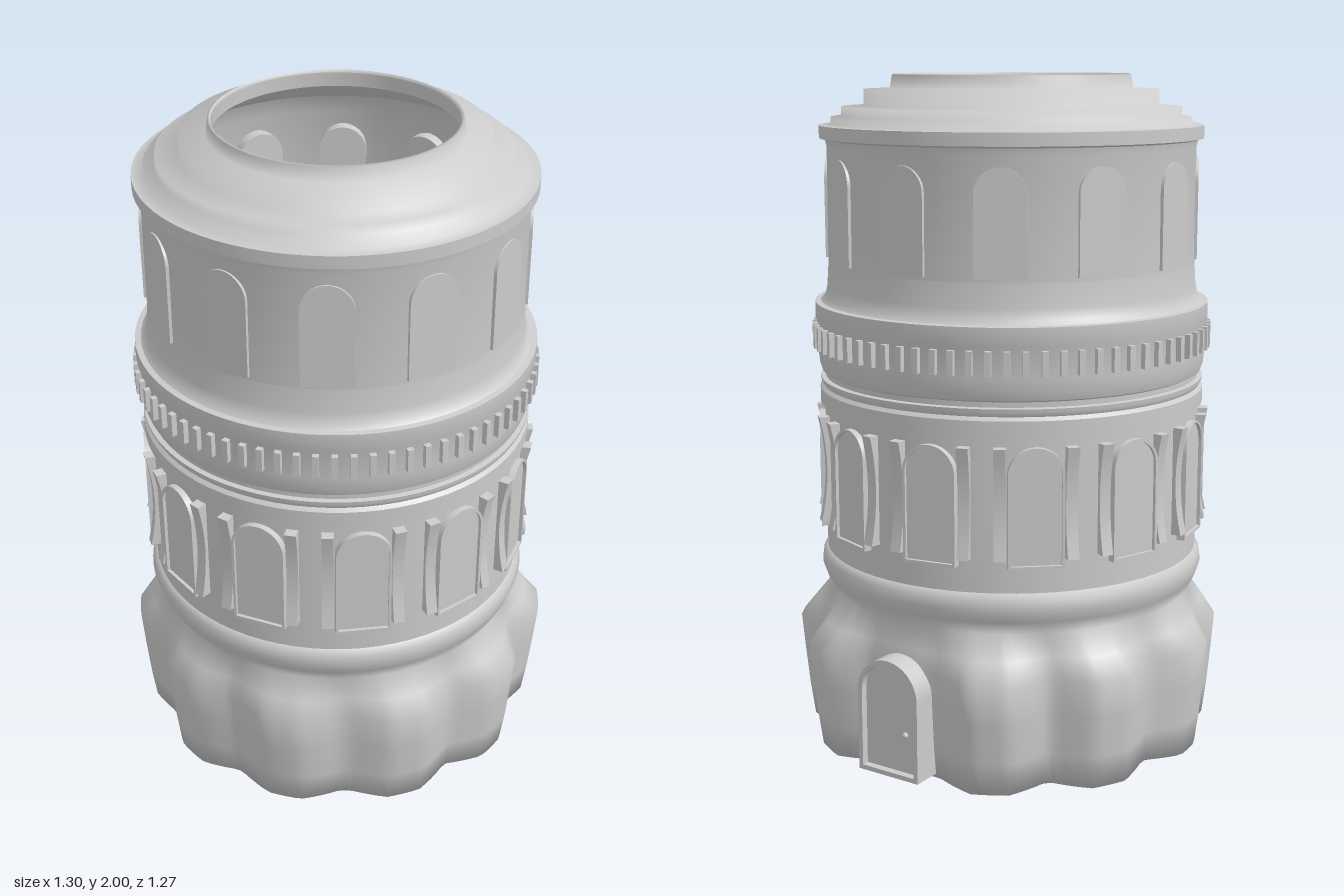
import * as THREE from 'three';
import { mergeVertices, toCreasedNormals } from 'three/addons/utils/BufferGeometryUtils.js';

const CENTRE_Z = 0.015;
const rad = THREE.MathUtils.degToRad;
const mat = new THREE.MeshStandardMaterial({ color: 0xcccccc });
const thinMat = new THREE.MeshStandardMaterial({ color: 0xcccccc, side: THREE.DoubleSide });

function part(name, geometry, material = mat) {
  const mesh = new THREE.Mesh(geometry, material);
  mesh.name = name;
  return mesh;
}

// Round section from [radius, height] pairs
function lathe(pairs, segments = 72) {
  return new THREE.LatheGeometry(pairs.map(([r, y]) => new THREE.Vector2(r, y)), segments);
}

// Round-headed outline standing on y = 0
function archOutline(target, w, h, inset = 0) {
  const r = w / 2 - inset;
  target.moveTo(-r, inset);
  target.lineTo(r, inset);
  target.lineTo(r, h - w / 2);
  target.absarc(0, h - w / 2, r, 0, Math.PI, false);
  target.lineTo(-r, inset);
  return target;
}

function archSlab(w, h, depth, inset = 0) {
  const shape = archOutline(new THREE.Shape(), w, h, inset);
  return new THREE.ExtrudeGeometry(shape, { depth, bevelEnabled: false, curveSegments: 12 });
}

function archFrame(w, h, depth, border) {
  const shape = archOutline(new THREE.Shape(), w, h);
  shape.holes.push(archOutline(new THREE.Path(), w, h, border));
  return new THREE.ExtrudeGeometry(shape, { depth, bevelEnabled: false, curveSegments: 12 });
}

// Turn an object outward at an angle (0 = front) and a distance from the axis
function placeAround(object, degrees, radius, y) {
  const a = rad(degrees);
  object.position.set(Math.sin(a) * radius, y, Math.cos(a) * radius);
  object.rotation.y = a;
  return object;
}

// Lobed rocky foot: a turned profile pushed outward at each lobe
function footGeometry() {
  const geometry = lathe([
    [0, 0.005], [0.3, 0.005], [0.565, 0.005], [0.575, 0.1], [0.582, 0.22], [0.587, 0.33],
    [0.572, 0.39], [0.555, 0.455], [0.575, 0.495], [0.587, 0.53], [0.583, 0.56], [0.57, 0.58], [0.55, 0.58],
  ], 144);
  geometry.deleteAttribute('uv');
  geometry.deleteAttribute('normal');
  const lobes = [17, 52.5, 86, 120, 152.5];
  const p = geometry.attributes.position;
  for (let i = 0; i < p.count; i++) {
    const x = p.getX(i), y = p.getY(i), z = p.getZ(i), r = Math.hypot(x, z);
    if (r < 0.4 || y > 0.45) continue;
    const angle = Math.abs(Math.atan2(x, z));
    const gap = Math.min(...lobes.map((l) => Math.abs(THREE.MathUtils.radToDeg(angle) - l)));
    const lobe = 1 - THREE.MathUtils.clamp((gap - 5) / 11, 0, 1);
    const bulge = 0.063 - 0.018 * Math.cos(angle);
    const fade = y > 0.33 ? (0.455 - y) / 0.125 : 0.8 + 0.6 * y;
    const k = (r + lobe * bulge * fade) / r;
    p.setXYZ(i, x * k, y < 0.01 ? 0.008 * (1 - lobe) : y, z * k);
  }
  const welded = mergeVertices(geometry, 1e-4);
  welded.computeVertexNormals();
  return welded;
}

// Square bar bowed toward the wall at mid height
function columnGeometry() {
  const h = 0.32;
  const geometry = new THREE.BoxGeometry(0.034, h, 0.04, 1, 8, 1);
  const p = geometry.attributes.position;
  for (let i = 0; i < p.count; i++) {
    const t = p.getY(i) / (h / 2);
    p.setZ(i, p.getZ(i) - 0.02 * (1 - t * t));
  }
  geometry.computeVertexNormals();
  return geometry;
}

export function createModel() {
  const model = new THREE.Group();
  model.name = 'tower';
  const tower = new THREE.Group();
  tower.name = 'towerBody';
  tower.position.z = CENTRE_Z;
  model.add(tower);

  tower.add(part('foot', footGeometry()));

  // Lower drum, mouldings and gallery band
  tower.add(part('lowerDrum', toCreasedNormals(lathe([
    [0.57, 0.57], [0.57, 1.03], [0.582, 1.03], [0.582, 1.075], [0.572, 1.085], [0.58, 1.1],
    [0.58, 1.108], [0.565, 1.11], [0.565, 1.128],
  ]), 0.6)));
  tower.add(part('galleryBand', toCreasedNormals(lathe([
    [0.565, 1.125], [0.575, 1.13], [0.582, 1.15], [0.586, 1.19], [0.586, 1.27], [0.592, 1.285],
    [0.592, 1.335], [0.575, 1.337], [0.562, 1.35], [0.555, 1.38], [0.55, 1.45],
  ]), 0.6)));

  // Upper drum and cornice
  tower.add(part('upperDrum', toCreasedNormals(lathe([
    [0.55, 1.44], [0.548, 1.79], [0.553, 1.81], [0.57, 1.815], [0.57, 1.852], [0.54, 1.852],
  ]), 0.6)));

  // Stepped roof up to the open rim
  tower.add(part('steppedRoof', lathe([
    [0.57, 1.852], [0.535, 1.854], [0.535, 1.875], [0.505, 1.877], [0.503, 1.905], [0.438, 1.907],
    [0.436, 1.955], [0.36, 1.957], [0.353, 1.997], [0.347, 2.0], [0.344, 1.99],
  ])));

  // Inside lining and floor
  tower.add(part('innerWall', toCreasedNormals(lathe([
    [0.344, 1.992], [0.346, 1.95], [0.43, 1.895], [0.5, 1.86], [0.53, 1.8], [0.53, 1.4],
  ]), 0.6), thinMat));
  const floor = part('innerFloor', new THREE.CircleGeometry(0.53, 64), thinMat);
  floor.rotation.x = -Math.PI / 2;
  floor.position.y = 1.4;
  tower.add(floor);

  // Twelve bays: upper window, lower window and its two columns
  const upperWindow = archSlab(0.145, 0.3, 0.06);
  const lowerFrame = archFrame(0.16, 0.345, 0.04, 0.008);
  const lowerPanel = archSlab(0.16, 0.345, 0.03, 0.006);
  const column = columnGeometry();
  for (let i = 0; i < 12; i++) {
    const a = i * 30;
    tower.add(placeAround(part('upperWindow', upperWindow), a, 0.493, 1.46));
    const window = new THREE.Group();
    window.name = 'lowerWindow';
    window.add(part('windowFrame', lowerFrame), part('windowPanel', lowerPanel));
    tower.add(placeAround(window, a + 10, 0.548, 0.655));
    for (const side of [-10, 10]) {
      tower.add(placeAround(part('column', column), a + 10 + side, 0.58, 0.84));
    }
  }

  // Ring of small teeth on the gallery band
  const tooth = new THREE.BoxGeometry(0.018, 0.07, 0.03);
  for (let i = 0; i < 72; i++) {
    tower.add(placeAround(part('bandTooth', tooth), i * 5 + 2, 0.587, 1.235));
  }

  // Arched door at the back
  const door = new THREE.Group();
  door.name = 'door';
  door.add(part('doorFrame', archFrame(0.21, 0.35, 0.17, 0.014)));
  door.add(part('doorPanel', archSlab(0.21, 0.35, 0.148, 0.012)));
  const knob = part('doorKnob', new THREE.SphereGeometry(0.009, 12, 8));
  knob.position.set(0.05, 0.13, 0.152);
  door.add(knob);
  tower.add(placeAround(door, 180, 0.478, 0.02));

  return model;
}
